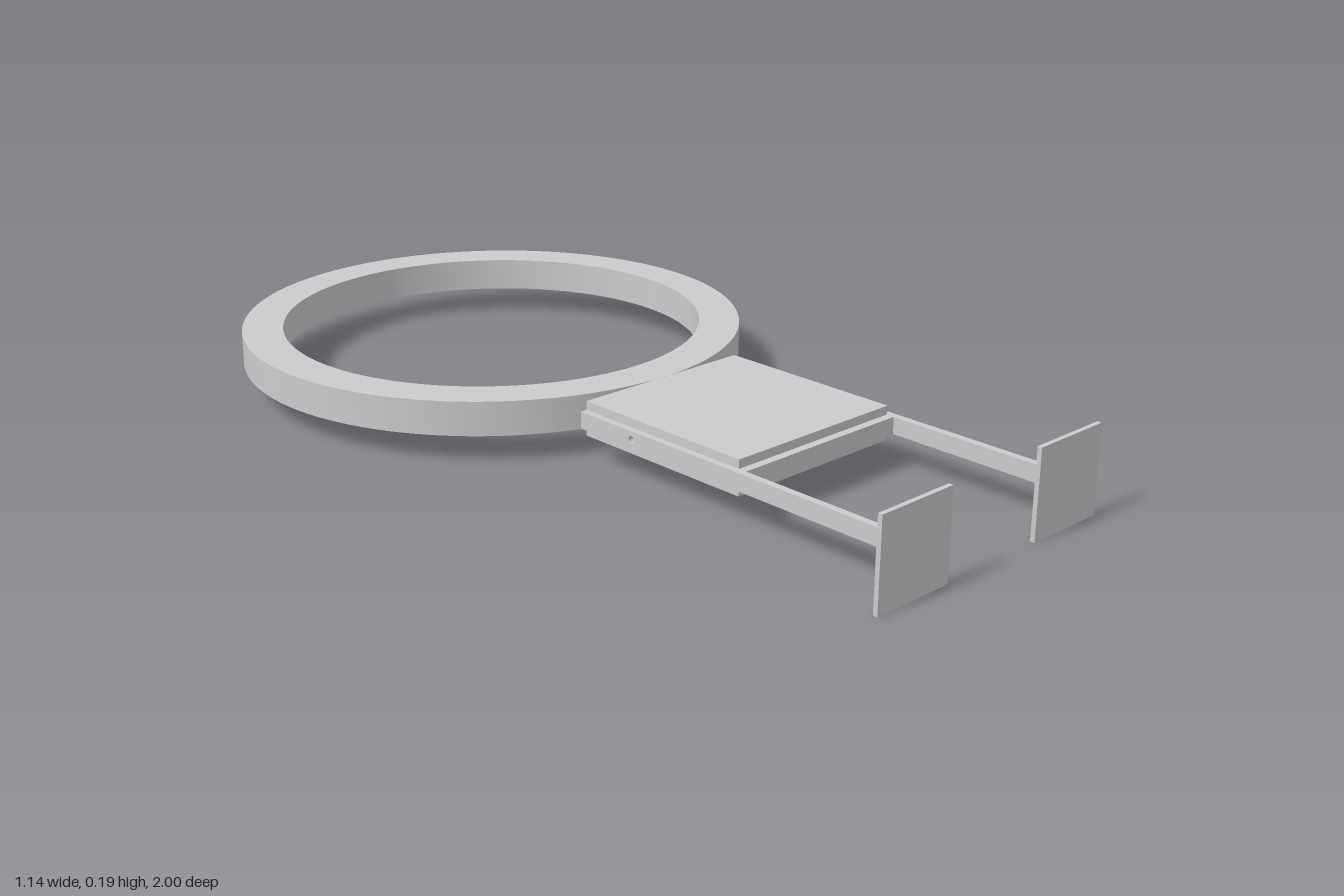
import * as THREE from 'three';
import { toCreasedNormals } from 'three/addons/utils/BufferGeometryUtils.js';

const MID_Y = 0.0975;           // common mid height of every part
const RING_Z = -0.43, R_IN = 0.478, R_OUT = 0.57, HALF_H = 0.0375;
const HOLE_R = 0.008;

export function createModel() {
  const model = new THREE.Group();
  const material = new THREE.MeshStandardMaterial({ color: 0xcccccc });

  function add(name, geometry, x, y, z, parent = model) {
    const mesh = new THREE.Mesh(geometry, material);
    mesh.name = name;
    mesh.position.set(x, y, z);
    parent.add(mesh);
    return mesh;
  }
  const box = (w, h, d) => new THREE.BoxGeometry(w, h, d);

  // Rectangle centred on the origin with one round hole at holeX
  function drilledPlate(width, height, depth, holeX) {
    const w = width / 2, h = height / 2;
    const shape = new THREE.Shape([
      new THREE.Vector2(-w, -h), new THREE.Vector2(w, -h),
      new THREE.Vector2(w, h), new THREE.Vector2(-w, h),
    ]);
    shape.holes.push(new THREE.Path().absarc(holeX, 0, HOLE_R, 0, Math.PI * 2, true));
    return new THREE.ExtrudeGeometry(shape, { depth, bevelEnabled: false, curveSegments: 16 });
  }

  // Ring: a square-section hoop, with a narrow drilled segment at the front
  const ring = new THREE.Group();
  ring.name = 'ring';
  ring.position.set(0, MID_Y, RING_Z);
  model.add(ring);

  const half = 0.04;            // half angle of the drilled segment
  const profile = [[R_IN, -HALF_H], [R_OUT, -HALF_H], [R_OUT, HALF_H], [R_IN, HALF_H], [R_IN, -HALF_H]]
    .map(([r, y]) => new THREE.Vector2(r, y));
  const hoop = new THREE.LatheGeometry(profile, 120, half, Math.PI * 2 - 2 * half);
  add('ringHoop', toCreasedNormals(hoop, 0.6), 0, 0, 0, ring);

  const rMid = (R_IN + R_OUT) / 2;
  const segment = drilledPlate(2 * half * rMid, 2 * HALF_H, R_OUT - R_IN, 0);
  const pos = segment.attributes.position;
  for (let i = 0; i < pos.count; i++) {
    const angle = pos.getX(i) / rMid, r = R_IN + pos.getZ(i);
    pos.setXYZ(i, r * Math.sin(angle), pos.getY(i), r * Math.cos(angle));
  }
  segment.computeVertexNormals();
  add('drilledRingSegment', segment, 0, 0, 0, ring);

  // Layered block: core between two cover plates
  add('blockCore', box(0.428, 0.037, 0.448), 0, MID_Y, 0.364);
  for (const [name, side] of [['topCover', 1], ['bottomCover', -1]]) {
    add(name, box(0.43, 0.019, 0.43), 0, MID_Y + side * 0.028, 0.355);
  }

  // Side rails with a pin hole, each ending in a square foot plate
  for (const [prefix, side] of [['left', 1], ['right', -1]]) {
    const length = 0.85, thickness = 0.016;
    const rail = drilledPlate(length, 0.037, thickness, side * (0.565 - 0.29));
    rail.translate(0, 0, -thickness / 2);
    add(prefix + 'Rail', rail, side * 0.222, MID_Y, 0.565).rotation.y = side * Math.PI / 2;
    add(prefix + 'FootPlate', box(0.19, 0.19, 0.01), side * 0.224, 0.0975, 0.995);
  }

  return model;
}
